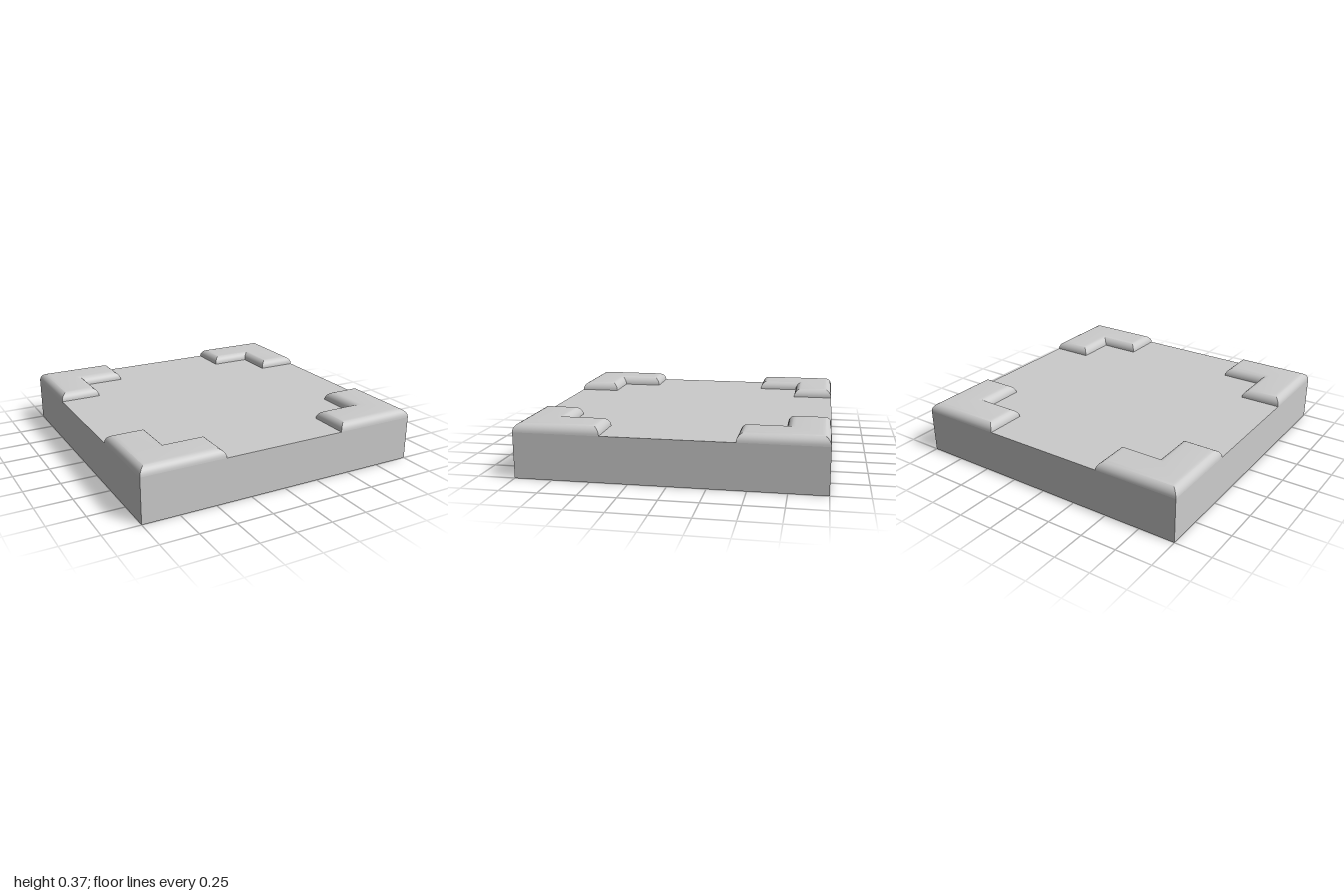
import * as THREE from 'three';
import { toCreasedNormals } from 'three/addons/utils/BufferGeometryUtils.js';

const BASE_H = 0.305, ROUND = 0.06, STEPS = 8;

// L outline in the +x +z corner: x, z, then the inward direction used by the mitred rounding
const OUTLINE = [
  [1, 1, -1, -1], [0.43, 1, 1, -1], [0.43, 0.715, 1, 1],
  [0.715, 0.715, 1, 1], [0.715, 0.43, 1, 1], [1, 0.43, -1, 1],
];

// Stack inset copies of the outline along a quarter circle, then cap the top
function cornerGeometry() {
  const n = OUTLINE.length, positions = [], index = [];
  for (let s = 0; s <= STEPS; s++) {
    const a = (s / STEPS) * Math.PI / 2;
    const inset = ROUND * (1 - Math.cos(a));
    const y = BASE_H + ROUND * Math.sin(a);
    for (const [x, z, dx, dz] of OUTLINE) positions.push(x + dx * inset, y, z + dz * inset);
  }
  for (let s = 0; s < STEPS; s++) {
    for (let i = 0; i < n; i++) {
      const a = s * n + i, b = s * n + (i + 1) % n;
      index.push(a, a + n, b, b, a + n, b + n);
    }
  }
  // Fan from the inner corner of the L
  const top = STEPS * n;
  for (const i of [4, 5, 0, 1]) index.push(top + 3, top + (i + 1) % n, top + i);

  const geometry = new THREE.BufferGeometry();
  geometry.setAttribute('position', new THREE.Float32BufferAttribute(positions, 3));
  geometry.setIndex(index);
  return toCreasedNormals(geometry, Math.PI / 6);
}

export function createModel() {
  const model = new THREE.Group();
  model.name = 'squarePlatform';
  const material = new THREE.MeshStandardMaterial({ color: 0xcccccc });

  // Square slab
  const base = new THREE.Mesh(new THREE.BoxGeometry(2, BASE_H, 2), material);
  base.name = 'base';
  base.position.y = BASE_H / 2;
  model.add(base);

  // Four raised corner brackets
  const geometry = cornerGeometry();
  ['frontLeft', 'backLeft', 'backRight', 'frontRight'].forEach((name, i) => {
    const corner = new THREE.Mesh(geometry, material);
    corner.name = name + 'Corner';
    corner.rotation.y = i * Math.PI / 2;
    model.add(corner);
  });
  return model;
}
